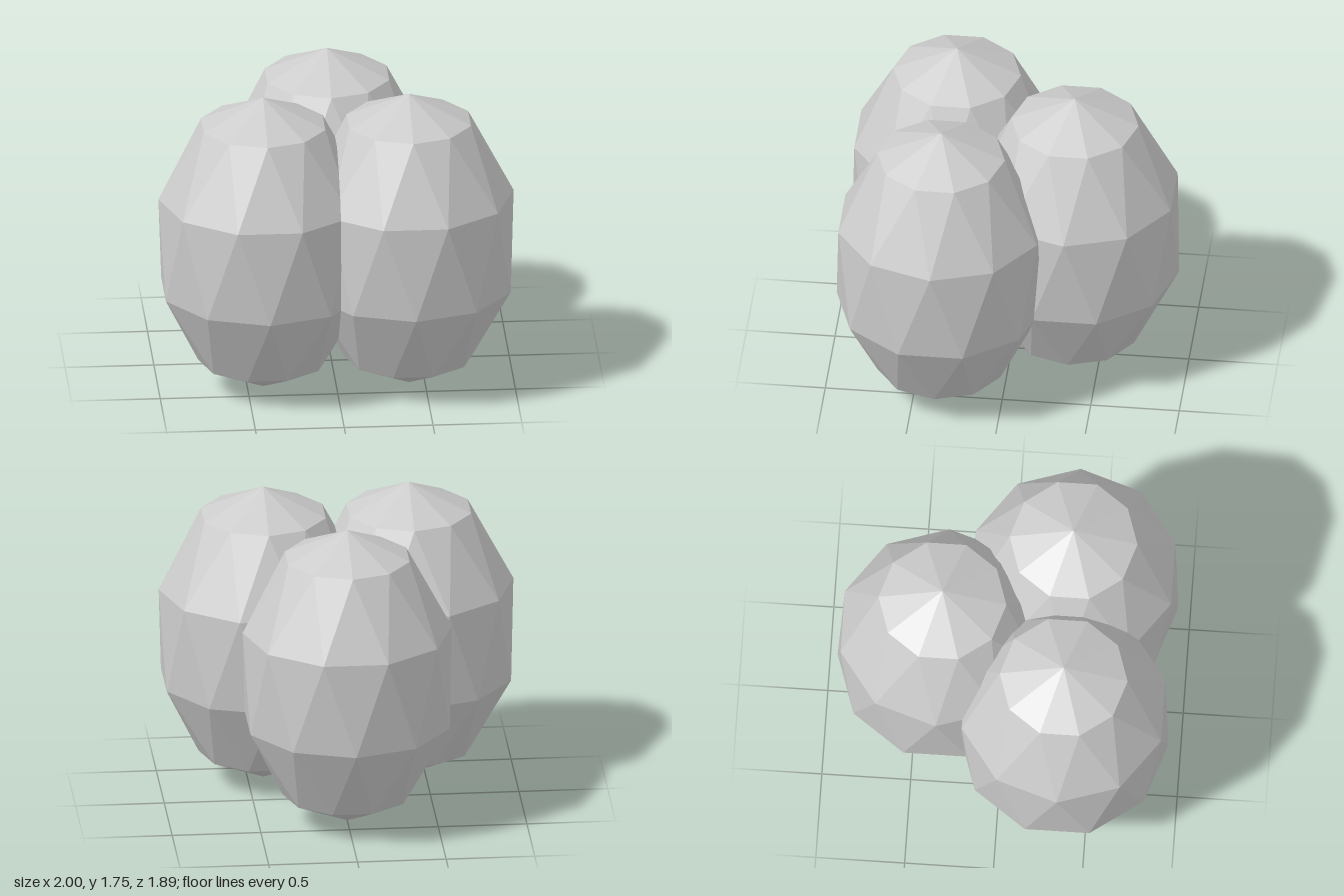
import * as THREE from 'three';

const SIDES = 10;
// Rings from bottom to top: [height, radius]; each is turned half a step from the last
const RINGS = [[0.17, 0.365], [0.605, 0.59], [1.15, 0.59], [1.59, 0.36]];
const HEIGHT = 1.75;

// Faceted egg-shaped lobe made of staggered rings closed by two pointed caps
function lobeGeometry() {
  const positions = [0, 0, 0];
  RINGS.forEach(([y, r], k) => {
    for (let i = 0; i < SIDES; i++) {
      const a = ((i + k / 2) / SIDES) * Math.PI * 2; // first ring has corners on +x and -x
      positions.push(r * Math.cos(a), y, -r * Math.sin(a));
    }
  });
  positions.push(0, HEIGHT, 0);

  const at = (k, i) => 1 + k * SIDES + (i % SIDES);
  const last = RINGS.length - 1;
  const apex = 1 + RINGS.length * SIDES;
  const index = [];
  for (let i = 0; i < SIDES; i++) {
    index.push(0, at(0, i + 1), at(0, i)); // bottom cap
    for (let k = 0; k < last; k++) {
      index.push(at(k, i), at(k, i + 1), at(k + 1, i));
      index.push(at(k, i + 1), at(k + 1, i + 1), at(k + 1, i));
    }
    index.push(at(last, i), at(last, i + 1), apex); // top cap
  }

  const indexed = new THREE.BufferGeometry();
  indexed.setAttribute('position', new THREE.Float32BufferAttribute(positions, 3));
  indexed.setIndex(index);
  const geometry = indexed.toNonIndexed();
  geometry.computeVertexNormals();
  return geometry;
}

export function createModel() {
  const group = new THREE.Group();
  group.name = 'lobeCluster';
  const material = new THREE.MeshStandardMaterial({ color: 0xcccccc, flatShading: true });
  const geometry = lobeGeometry();

  // Three overlapping lobes in a triangle
  const places = [
    ['frontLeftLobe', 0.41, 0.355],
    ['frontRightLobe', -0.41, 0.355],
    ['backLobe', 0, -0.355],
  ];
  for (const [name, x, z] of places) {
    const lobe = new THREE.Mesh(geometry, material);
    lobe.name = name;
    lobe.position.set(x, 0, z);
    group.add(lobe);
  }
  return group;
}
